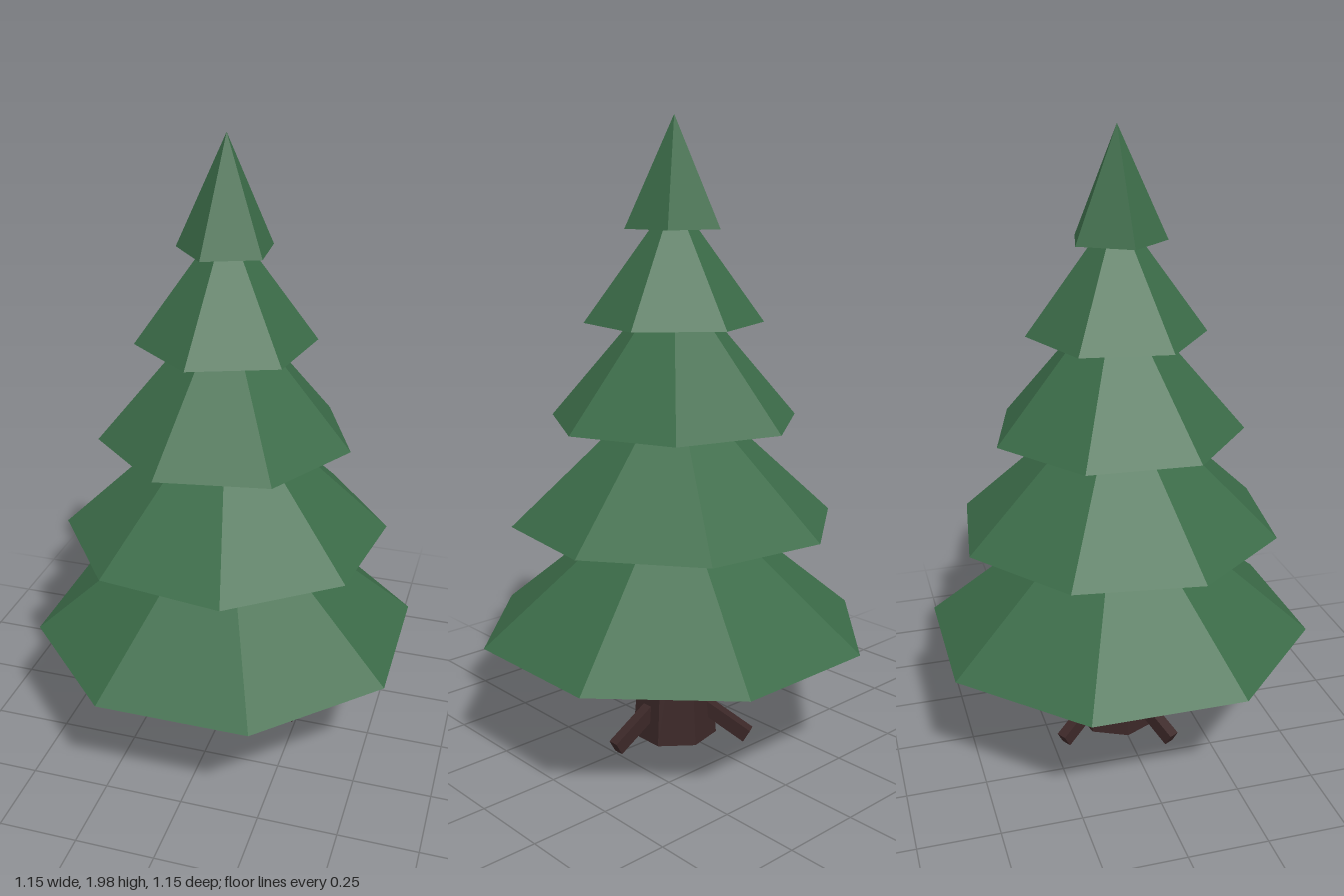
import * as THREE from 'three';

const needleGreen = new THREE.MeshStandardMaterial({ name: 'needleGreen', color: 0x3b6b48, flatShading: true });
const barkBrown = new THREE.MeshStandardMaterial({ name: 'barkBrown', color: 0x3b2727, flatShading: true });

const rad = THREE.MathUtils.degToRad;

function addMesh(parent, name, geometry, material) {
  const mesh = new THREE.Mesh(geometry, material);
  mesh.name = name;
  parent.add(mesh);
  return mesh;
}

export function createModel() {
  const tree = new THREE.Group();
  tree.name = 'pineTree';

  // Tapered trunk, its top hidden in the lowest tier
  const bottom = 0.02, top = 0.7;
  const trunk = addMesh(tree, 'trunk', new THREE.CylinderGeometry(0.085, 0.14, top - bottom, 7), barkBrown);
  trunk.position.y = (bottom + top) / 2;
  trunk.rotation.y = -Math.PI / 2;

  // Three roots sloping down and out of the trunk
  const length = 0.2;
  for (const angle of [0, 150, 240]) {
    const root = new THREE.Group();
    root.name = 'root';
    root.rotation.y = -rad(angle);
    const geometry = new THREE.BoxGeometry(length, 0.046, 0.035)
      .translate(-length / 2, 0, 0)
      .rotateZ(-rad(30))
      .translate(0.252, 0.036, 0);
    addMesh(root, 'rootBox', geometry, barkBrown);
    tree.add(root);
  }

  // Foliage tiers: base height, radius, height, sides, turn in degrees
  const tiers = [
    [0.39, 0.625, 0.515, 8, 22.5],
    [0.75, 0.517, 0.48, 8, 14.5],
    [1.07, 0.399, 0.465, 7, 35.5],
    [1.375, 0.279, 0.385, 6, -9],
    [1.66, 0.153, 0.335, 5, -13.5],
  ];
  for (const [y, radius, height, sides, turn] of tiers) {
    const tier = addMesh(tree, 'foliageTier', new THREE.ConeGeometry(radius, height, sides), needleGreen);
    tier.position.y = y + height / 2;
    tier.rotation.y = rad(turn);
  }

  return tree;
}
